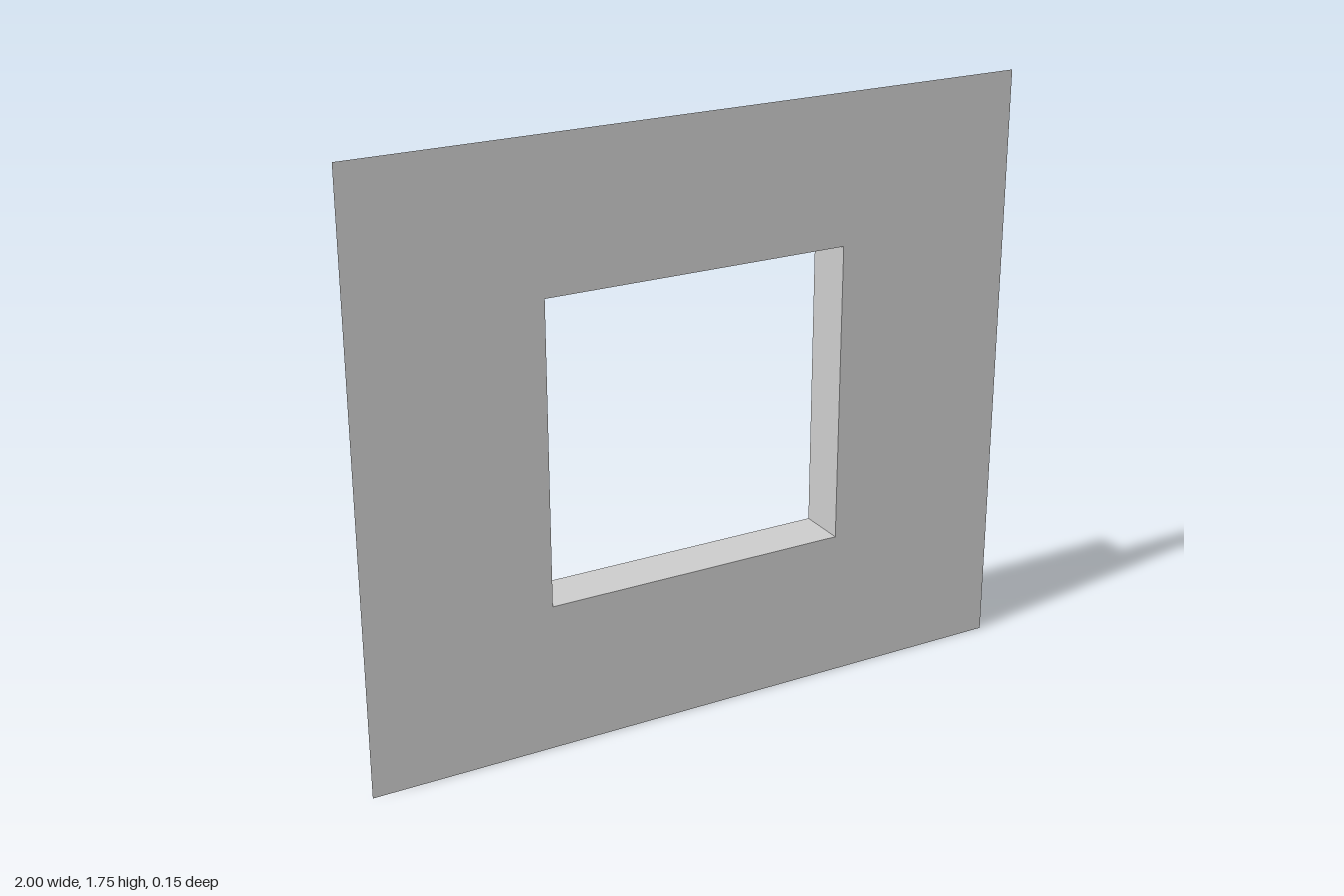
import * as THREE from 'three';

const W = 2, H = 1.75;              // panel size
const HOLE = 0.455, OUTER = 0.655;  // half widths of opening and frame
const Y0 = 0.437, Y1 = 1.318;       // bottom and top of opening
const D = 0.146;                    // frame depth

export function createModel() {
  const group = new THREE.Group();
  const material = new THREE.MeshStandardMaterial({
    color: 0xcccccc, flatShading: true, side: THREE.DoubleSide,
  });
  const add = (name, geometry, x = 0, y = 0, z = 0) => {
    const mesh = new THREE.Mesh(geometry, material);
    mesh.name = name;
    mesh.position.set(x, y, z);
    group.add(mesh);
  };
  const rectangle = (path, x, y0, y1) =>
    path.moveTo(-x, y0).lineTo(x, y0).lineTo(x, y1).lineTo(-x, y1).closePath();

  // Thin front panel with a window opening
  const panel = rectangle(new THREE.Shape(), W / 2, 0, H);
  panel.holes.push(rectangle(new THREE.Path(), HOLE, Y0, Y1));
  add('wallPanel', new THREE.ShapeGeometry(panel), 0, 0, D / 2);

  // Upright sheets: opening jambs and outer pocket walls
  const upright = new THREE.PlaneGeometry(D, Y1 - Y0).rotateY(Math.PI / 2);
  for (const [side, s] of [['left', 1], ['right', -1]]) {
    add(side + 'Jamb', upright, s * HOLE, (Y0 + Y1) / 2);
    add(side + 'PocketWall', upright, s * OUTER, (Y0 + Y1) / 2);
  }

  // Level sheets: sill and head over the opening, continued across both pockets
  for (const [name, y] of [['Sill', Y0], ['Head', Y1]]) {
    add('opening' + name, new THREE.PlaneGeometry(2 * HOLE, D).rotateX(-Math.PI / 2), 0, y);
    for (const [side, s] of [['left', 1], ['right', -1]]) {
      add(side + 'Pocket' + name,
        new THREE.PlaneGeometry(OUTER - HOLE, D).rotateX(-Math.PI / 2), s * (HOLE + OUTER) / 2, y);
    }
  }
  return group;
}
